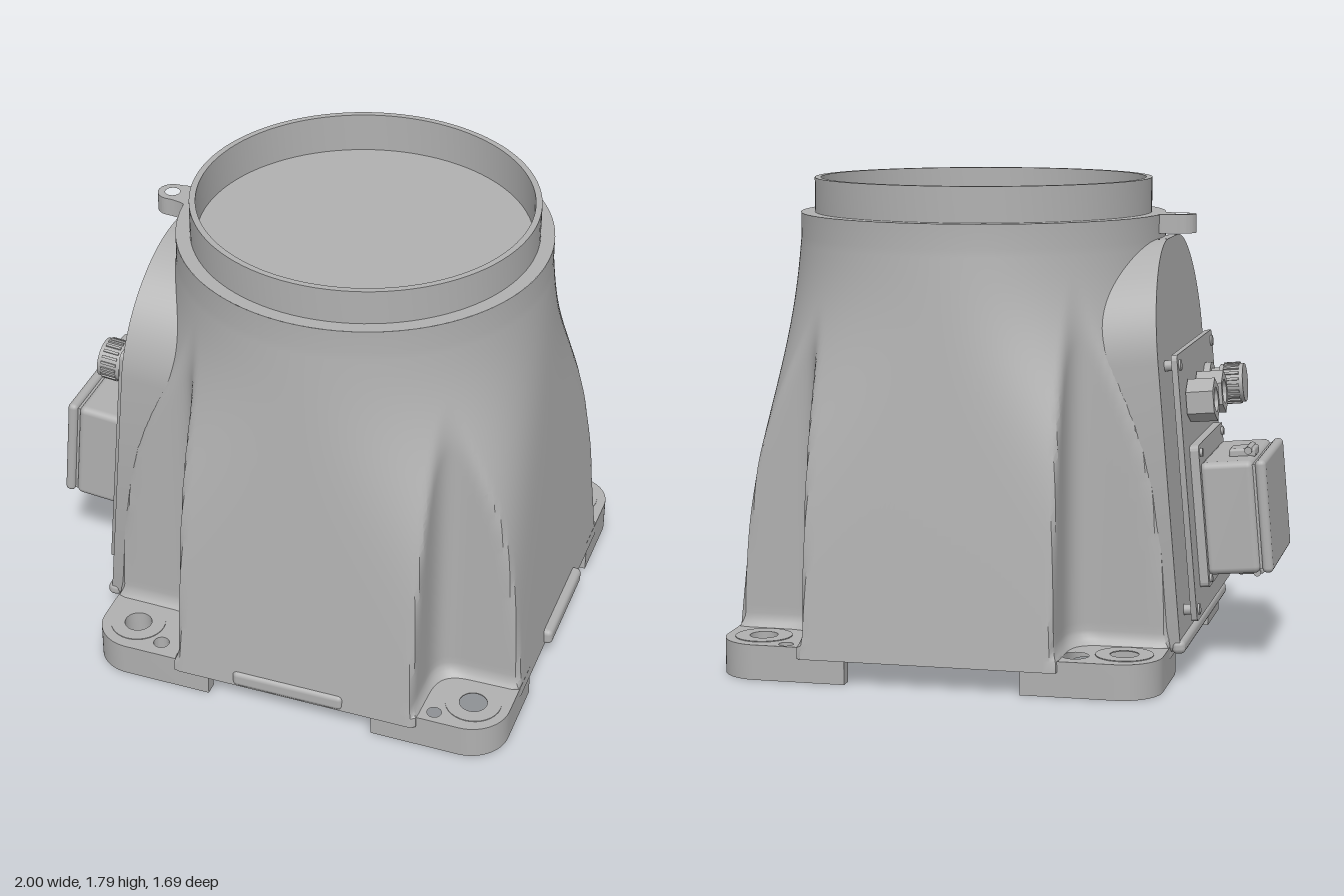
import * as THREE from 'three';
import { toCreasedNormals } from 'three/addons/utils/BufferGeometryUtils.js';
import { RoundedBoxGeometry } from 'three/addons/geometries/RoundedBoxGeometry.js';

const CX = 0.155; // axis of the tapered body
const castGrey = new THREE.MeshStandardMaterial({ color: 0xb0b0b0 });
castGrey.name = 'castGrey';

function add(parent, name, geometry, x = 0, y = 0, z = 0) {
  const mesh = new THREE.Mesh(geometry, castGrey);
  mesh.name = name;
  mesh.position.set(x, y, z);
  parent.add(mesh);
  return mesh;
}

// Flat plan shape (x, -z) raised upward
function slab(shape, height) {
  const g = new THREE.ExtrudeGeometry(shape, { depth: height, bevelEnabled: false, curveSegments: 16 });
  return toCreasedNormals(g.rotateX(-Math.PI / 2), 0.5);
}

// Upright shape (-z, y) given depth along x
function panelSlab(shape, depth) {
  const g = new THREE.ExtrudeGeometry(shape, { depth, bevelEnabled: false, curveSegments: 16 });
  return toCreasedNormals(g.rotateY(Math.PI / 2), 0.5);
}

function roundRect(w, y0, y1, rBottom, rTop) {
  const s = new THREE.Shape(), h = w / 2;
  s.moveTo(-h + rBottom, y0);
  s.lineTo(h - rBottom, y0);
  s.absarc(h - rBottom, y0 + rBottom, rBottom, -Math.PI / 2, 0);
  s.lineTo(h, y1 - rTop);
  s.absarc(h - rTop, y1 - rTop, rTop, 0, Math.PI / 2);
  s.lineTo(-h + rTop, y1);
  s.absarc(-h + rTop, y1 - rTop, rTop, Math.PI / 2, Math.PI);
  s.lineTo(-h, y0 + rBottom);
  s.absarc(-h + rBottom, y0 + rBottom, rBottom, Math.PI, Math.PI * 1.5);
  return s;
}

function hole(shape, x, y, r) {
  shape.holes.push(new THREE.Path().absarc(x, y, r, 0, Math.PI * 2, true));
}

const rodX = (r, length, sides = 32) => new THREE.CylinderGeometry(r, r, length, sides).rotateZ(Math.PI / 2);

// Square-to-round body section, cut at the corners by four upright pockets
function bodyRadius(theta, y) {
  const c = Math.cos(theta), s = Math.sin(theta), ac = Math.abs(c), as = Math.abs(s);
  const t = Math.max(0, (1.57 - y) / 1.48);
  const n = 2 + 12 * Math.pow(t, 2.4);
  const ax = 0.69 + 0.128 * t, az = 0.69 + 0.15 * t;
  const loft = Math.pow(Math.pow(ac / ax, n) + Math.pow(as / az, n), -1 / n);
  const p = Math.min(9, (c < 0 ? 0.445 : 0.485) / Math.max(ac, 1e-4));
  const q = Math.min(9, 0.53 / Math.max(as, 1e-4));
  const round = Math.max(0.15 - Math.abs(p - q), 0) / 0.15;
  const foot = Math.min(1, Math.max(0, (0.18 - y) / 0.05));
  const plus = Math.max(p, q) + round * round * 0.15 / 4 + 0.035 * foot * foot;
  const edge = Math.max(0.03 - Math.abs(loft - plus), 0) / 0.03;
  return Math.min(loft, plus) - (t > 0 ? edge * edge * 0.03 / 4 : 0);
}

function bodyGeometry() {
  const N = 288, levels = [0.09, 0.13, 0.14, 0.15, 0.165, 0.18];
  for (let i = 1; i <= 48; i++) levels.push(0.18 + (1.57 - 0.18) * i / 48);
  levels.push(1.66);
  const pos = [], index = [];
  for (const y of levels) {
    for (let j = 0; j < N; j++) {
      const a = (j / N) * Math.PI * 2, r = bodyRadius(a, y);
      pos.push(CX + r * Math.cos(a), y, r * Math.sin(a));
    }
  }
  for (let i = 0; i < levels.length - 1; i++) {
    for (let j = 0; j < N; j++) {
      const a = i * N + j, b = i * N + (j + 1) % N;
      index.push(a, a + N, b, b, a + N, b + N);
    }
  }
  // underside
  pos.push(CX, 0.09, 0);
  for (let j = 0; j < N; j++) index.push(pos.length / 3 - 1, j, (j + 1) % N);
  const g = new THREE.BufferGeometry();
  g.setAttribute('position', new THREE.Float32BufferAttribute(pos, 3));
  g.setIndex(index);
  return toCreasedNormals(g, 0.6);
}

// Corner foot with bolt hole and a smaller hole beside it
function addFoot(parent, sx, sz, smallX, smallZ, smallR) {
  const X = p => CX + sx * (0.815 - p), Y = q => -sz * (0.82 - q);
  const s = new THREE.Shape();
  s.moveTo(X(0), Y(0.15));
  s.bezierCurveTo(X(0), Y(0.067), X(0.067), Y(0), X(0.15), Y(0));
  s.lineTo(X(0.49), Y(0));
  s.lineTo(X(0.49), Y(0.05));
  s.bezierCurveTo(X(0.4), Y(0.1), X(0.45), Y(0.2), X(0.41), Y(0.28));
  s.bezierCurveTo(X(0.36), Y(0.37), X(0.12), Y(0.28), X(0.05), Y(0.42));
  s.lineTo(X(0), Y(0.42));
  const hx = CX + sx * 0.675, hz = sz * 0.67;
  hole(s, hx, -hz, 0.052);
  hole(s, smallX, -smallZ, smallR);
  add(parent, 'foot', slab(s, 0.13));
  // spot face around the bolt hole
  const ring = new THREE.Shape().absarc(0, 0, 0.105, 0, Math.PI * 2);
  hole(ring, 0, 0, 0.052);
  add(parent, 'boltSeat', slab(ring, 0.004), hx, 0.129, hz);
}

export function createModel() {
  const model = new THREE.Group();
  model.name = 'machineBase';

  add(model, 'taperedBody', bodyGeometry());

  // Top collar with recessed floor
  const profile = [[0.69, 1.66], [0.638, 1.66], [0.638, 1.79], [0.615, 1.79], [0.615, 1.64], [0, 1.64]];
  const collar = new THREE.LatheGeometry(profile.map(p => new THREE.Vector2(p[0], p[1])), 96);
  add(model, 'topCollar', toCreasedNormals(collar, 0.5), CX);

  addFoot(model, 1, 1, 0.71, 0.77, 0.027);
  addFoot(model, 1, -1, 0.71, -0.78, 0.027);
  addFoot(model, -1, 1, -0.39, 0.75, 0.03);
  addFoot(model, -1, -1, -0.35, -0.72, 0.05);

  // Low pads on the lower edge
  add(model, 'frontPad', new RoundedBoxGeometry(0.44, 0.065, 0.08, 3, 0.02), 0.155, 0.122, 0.806);
  add(model, 'sidePad', new RoundedBoxGeometry(0.08, 0.065, 0.43, 3, 0.02), 0.96, 0.122, 0);

  // Lifting lug on the rim
  const lug = new THREE.Shape();
  lug.moveTo(-0.48, -0.1);
  lug.quadraticCurveTo(-0.54, -0.055, -0.605, -0.055);
  lug.absarc(-0.605, 0, 0.055, -Math.PI / 2, -Math.PI * 1.5, true);
  lug.quadraticCurveTo(-0.54, 0.055, -0.48, 0.1);
  hole(lug, -0.605, 0, 0.028);
  add(model, 'rimLug', slab(lug, 0.07), 0, 1.59, 0);

  // Leaning connection housing; local -x points outward
  const panel = new THREE.Group();
  panel.name = 'connectionPanel';
  panel.position.set(-0.7, 0.1, 0);
  panel.rotation.z = -0.087;
  model.add(panel);
  add(panel, 'archedHousing', panelSlab(roundRect(1.04, 0.01, 1.48, 0.03, 0.42), 0.27));
  add(panel, 'housingFoot', new RoundedBoxGeometry(0.05, 0.05, 1.05, 3, 0.02), 0.008, 0.03, 0);
  add(panel, 'backPlate', panelSlab(roundRect(0.84, 0.1, 1.08, 0.02, 0.02), 0.022), -0.052);
  add(panel, 'socketPlate', panelSlab(roundRect(0.6, 0.2, 0.73, 0.02, 0.02), 0.033), -0.085);
  for (const z of [-1, 1]) {
    for (const y of [0.14, 1.04]) add(panel, 'plateScrew', rodX(0.02, 0.07, 16), -0.025, y, z * 0.38);
    for (const y of [0.23, 0.7]) add(panel, 'socketScrew', rodX(0.016, 0.02, 16), -0.085, y, z * 0.265);
  }

  // Connector hood with lid and latches
  add(panel, 'connectorHood', new RoundedBoxGeometry(0.2, 0.42, 0.55, 3, 0.025), -0.175, 0.45, 0);
  add(panel, 'lidCore', new THREE.BoxGeometry(0.06, 0.39, 0.52), -0.275, 0.45, 0);
  add(panel, 'hoodLid', new RoundedBoxGeometry(0.04, 0.42, 0.55, 3, 0.018), -0.302, 0.45, 0);
  for (const [y, sign] of [[0.67, 1], [0.23, -1]]) {
    add(panel, 'latchArm', new RoundedBoxGeometry(0.1, 0.035, 0.11, 2, 0.01), -0.22, y, -0.09);
    add(panel, 'latchPin', new THREE.CylinderGeometry(0.014, 0.014, 0.13, 16).rotateX(Math.PI / 2),
      -0.245, y + sign * 0.01, -0.09);
  }

  // Hexagonal cable glands
  const hex = new THREE.Shape();
  for (let i = 0; i < 6; i++) {
    const a = i * Math.PI / 3 + Math.PI / 6;
    hex[i ? 'lineTo' : 'moveTo'](0.08 * Math.cos(a), 0.08 * Math.sin(a));
  }
  hole(hex, 0, 0, 0.045);
  for (const z of [-0.24, -0.025]) {
    add(panel, 'hexGland', panelSlab(hex, 0.1), -0.155, 0.89, z);
    add(panel, 'glandCore', rodX(0.047, 0.05), -0.09, 0.89, z);
  }

  // Knurled round connector
  const plug = new THREE.Group();
  plug.name = 'roundConnector';
  plug.position.set(0, 0.89, 0.21);
  panel.add(plug);
  add(plug, 'connectorFlange', rodX(0.085, 0.025), -0.065);
  add(plug, 'connectorNeck', rodX(0.062, 0.06), -0.1);
  add(plug, 'connectorRing', rodX(0.074, 0.09), -0.155);
  for (let i = 0; i < 20; i++) {
    const a = i * Math.PI / 10;
    const ridge = add(plug, 'gripRidge', new THREE.BoxGeometry(0.06, 0.012, 0.01),
      -0.155, 0.074 * Math.cos(a), 0.074 * Math.sin(a));
    ridge.rotation.x = a;
  }
  return model;
}
